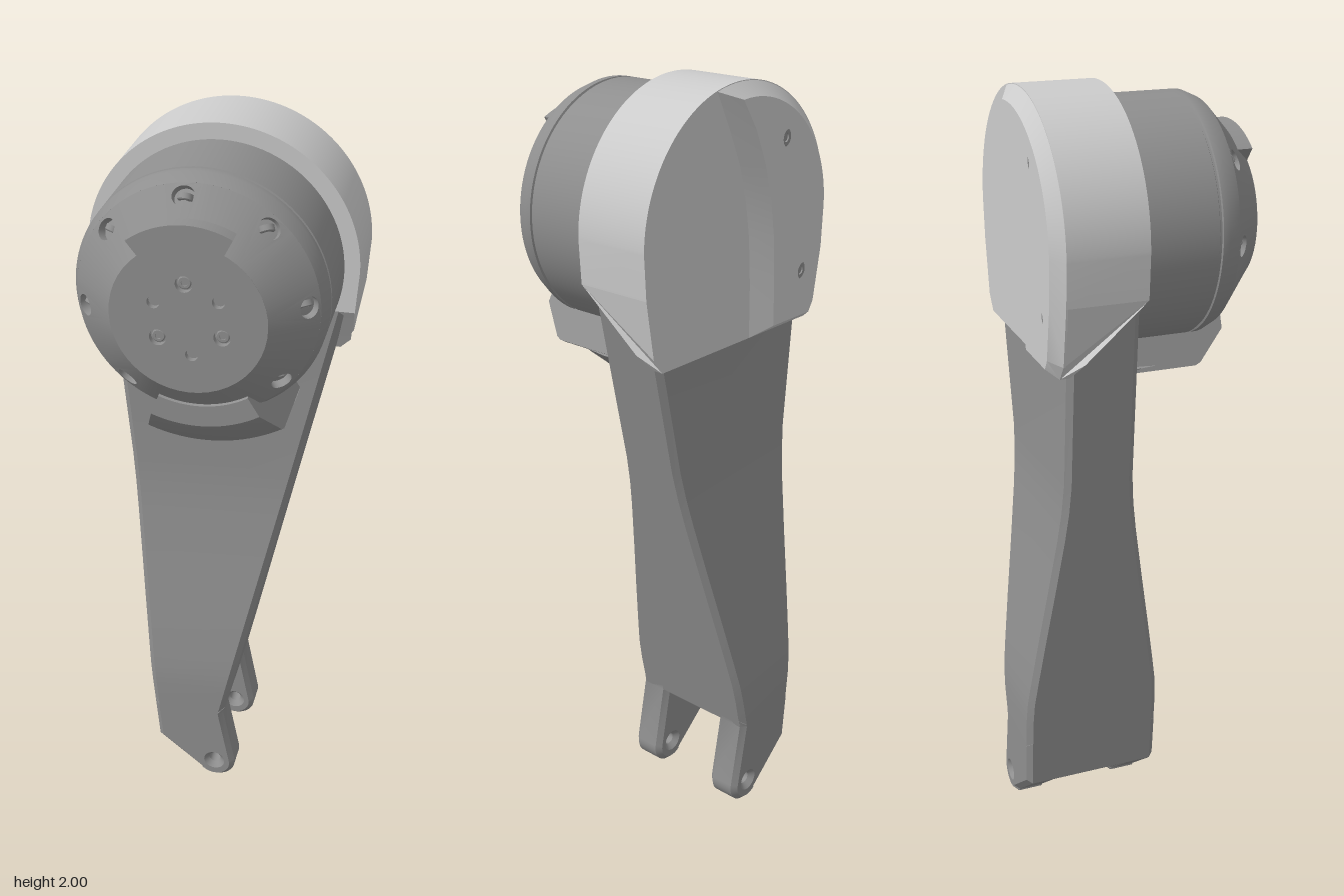
import * as THREE from 'three';
import { toCreasedNormals, mergeGeometries } from 'three/addons/utils/BufferGeometryUtils.js';

const { PI, cos, sin } = Math;
const AXIS = 1.66; // height of the motor axis
const TILT = 5.5 * PI / 180; // motor is turned slightly
const V = (x, y, z) => new THREE.Vector3(x, y, z);
const light = new THREE.MeshStandardMaterial({ color: 0xdadada });
const dark = new THREE.MeshStandardMaterial({ color: 0x8f8f8f });

// Creasing runs at a larger scale so that fine details are not merged
function add(parent, name, geometry, material = dark, crease = 0.5) {
  const g = toCreasedNormals(geometry.scale(100, 100, 100), crease).scale(0.01, 0.01, 0.01);
  const mesh = new THREE.Mesh(g, material);
  mesh.name = name;
  parent.add(mesh);
  return mesh;
}

const polygon = pts => new THREE.Shape(pts.map(p => new THREE.Vector2(...p)));

function circleHole(x, y, r) {
  return new THREE.Path().absarc(x, y, r, 0, 2 * PI, true);
}

function extrude(shape, z0, z1, bevel = 0) {
  const g = new THREE.ExtrudeGeometry(shape, {
    depth: z1 - z0 - 2 * bevel, bevelEnabled: bevel > 0, bevelSize: bevel, bevelThickness: bevel,
    bevelOffset: -bevel, bevelSegments: 1, curveSegments: 24,
  });
  return g.translate(0, 0, z0 + bevel);
}

// Moves every vertex of a geometry by a rule
function reshape(g, rule) {
  const pos = g.attributes.position;
  for (let i = 0; i < pos.count; i++) {
    const p = rule(pos.getX(i), pos.getY(i), pos.getZ(i));
    pos.setXYZ(i, p.x, p.y, p.z);
  }
  return g;
}

// Solid through closed loops, counterclockwise seen from the last loop's side
function loft(loops, capEnd = true) {
  const out = [], n = loops[0].length;
  const tri = (...pts) => pts.forEach(p => out.push(p.x, p.y, p.z));
  const centre = l => l.reduce((s, p) => s.add(p), V(0, 0, 0)).divideScalar(n);
  const first = loops[0], last = loops[loops.length - 1];
  const c0 = centre(first), c1 = centre(last);
  for (let i = 0; i < n; i++) {
    const j = (i + 1) % n;
    for (let k = 0; k + 1 < loops.length; k++) {
      const a = loops[k], b = loops[k + 1];
      tri(a[i], a[j], b[j]);
      tri(a[i], b[j], b[i]);
    }
    tri(c0, first[j], first[i]);
    if (capEnd) tri(c1, last[i], last[j]);
  }
  const g = new THREE.BufferGeometry();
  g.setAttribute('position', new THREE.Float32BufferAttribute(out, 3));
  return g;
}

function latheZ(pts, segments = 64, start = 0, length = 2 * PI) {
  return new THREE.LatheGeometry(pts.map(p => new THREE.Vector2(...p)), segments, start, length).rotateX(PI / 2);
}

// Screw head with a socket, facing +z
function screw(r) {
  return latheZ([[r, -0.01], [r, 0.003], [r * 0.85, 0.005], [r * 0.5, 0.005], [r * 0.5, 0.001], [0, 0.001]], 20);
}

const legLeft = y => -0.17 - (y - 0.13) * 0.088;
const legRight = y => 0.025 + (y - 0.25) * 0.219;

function buildLeg(root) {
  const leg = new THREE.Group();
  leg.name = 'leg';
  // Tapered beam: height and half depth of each section
  const rows = [[0.25, 0.1875], [0.34, 0.1875], [0.4, 0.184], [0.47, 0.174], [0.6, 0.154], [0.75, 0.13],
    [0.9, 0.107], [0.98, 0.097], [1.06, 0.0915], [1.55, 0.0905]];
  const c = 0.015, mid = -0.1225;
  add(leg, 'legBeam', loft(rows.map(([y, h]) => {
    const l = legLeft(y), r = legRight(y), f = mid + h, b = mid - h;
    return [[r - c, f], [r, f - c], [r, b + c], [r - c, b], [l + c, b], [l, b + c], [l, f - c], [l + c, f]]
      .map(([x, z]) => V(x, y, z));
  })), dark, 0.3);

  // Fork prongs with a pivot hole
  const prong = new THREE.Shape();
  prong.moveTo(legRight(0.27), 0.27);
  prong.lineTo(legLeft(0.27), 0.27);
  prong.lineTo(-0.17, 0.13);
  prong.lineTo(-0.04, 0.02);
  prong.absarc(0, 0.06, 0.06, PI * 1.27, PI * 2.05, false);
  prong.lineTo(0.025, 0.25);
  prong.holes.push(circleHole(0, 0.065, 0.017));
  add(leg, 'frontProng', extrude(prong, -0.028, 0.065, 0.014));
  add(leg, 'backProng', extrude(prong, -0.31, -0.217, 0.014));

  // Web joining the prongs, hollowed round the pivot
  const web = new THREE.Shape();
  web.moveTo(0.02, 0.26);
  web.lineTo(legLeft(0.26), 0.26);
  web.lineTo(-0.17, 0.13);
  web.absarc(0.015, 0.072, 0.178, 2.875, PI / 2, true);
  add(leg, 'forkWeb', extrude(web, -0.235, -0.01));
  root.add(leg);
}

function buildHousing(root) {
  const housing = new THREE.Group();
  housing.name = 'housing';
  const front = -0.03, back = -0.235;
  // Round upper part
  const top = new THREE.Shape();
  top.moveTo(-0.335, 1.55);
  top.lineTo(0.335, 1.55);
  top.absarc(0, AXIS, 0.342, 0, PI, false);
  const upper = new THREE.ExtrudeGeometry(top, { depth: front - back, bevelEnabled: false, curveSegments: 64 });
  add(housing, 'housingTop', upper.translate(0, 0, back), light);

  // Lower skirt: side profile swept across, narrowing downwards
  const width = y => y > 1.4 ? 0.31 + (y - 1.4) / 0.15 * 0.025 : 0.28 + (y - 1.36) / 0.04 * 0.03;
  const skirt = polygon([[0.03, 1.55], [0.18, 1.4], [0.21, 1.36], [0.235, 1.36], [0.235, 1.4], [0.235, 1.55]]);
  add(housing, 'housingSkirt', reshape(extrude(skirt, -1, 1), (u, y, s) => V(s * width(y), y, -u)), light, 0.3);

  // Raised back plate with chamfered rim, a sweeping inner edge and two screw wells
  const plateLoop = (inset, shift, z) => {
    const R = 0.34 - inset;
    const loop = [[-0.05 - shift, 1.36 + inset * 0.7], [-0.28 + inset * 0.6, 1.36 + inset * 0.7],
      [-0.31 + inset, 1.4 + inset * 0.3], [-0.335 + inset, 1.55]];
    const end = Math.acos((0.09 - shift) / R);
    for (let i = 0; i <= 28; i++) {
      const a = PI + (end - PI) * i / 28;
      loop.push([R * cos(a), AXIS + R * sin(a)]);
    }
    const edge = [[0.04, 1.89], [0, 1.8], [-0.025, 1.71], [-0.04, 1.62], [-0.048, 1.5]];
    edge.forEach(([x, y]) => loop.push([x - shift, y]));
    return loop.map(([x, y]) => V(x, y, z));
  };
  const rim = plateLoop(0.033, 0.06, -0.265);
  add(housing, 'backPlateRim', loft([plateLoop(0, 0, back + 0.005), plateLoop(0, 0, back), rim], false), light, 0.3);
  const plate = polygon(rim.map(p => [p.x, p.y]));
  for (const [x, y] of [[-0.15, 1.85], [-0.23, 1.5]]) {
    plate.holes.push(circleHole(x, y, 0.023));
    const s = add(housing, 'backScrew', screw(0.0232));
    s.position.set(x, y, -0.25);
    s.rotation.y = PI;
  }
  add(housing, 'backPlate', extrude(plate, -0.265, -0.245), light);
  root.add(housing);
}

function buildMotor(root) {
  const motor = new THREE.Group();
  motor.name = 'motor';
  motor.position.y = AXIS;
  // Drum with a groove; its nose is the floor under the holes
  add(motor, 'drum', latheZ([[0.29, -0.05], [0.3, -0.03], [0.305, -0.022], [0.305, 0.16], [0.3, 0.163], [0.3, 0.168],
    [0.305, 0.17], [0.305, 0.187], [0.29, 0.22], [0.277, 0.205], [0.172, 0.3], [0, 0.3]], 96));

  // Conical cap: eight pierced patches bent round the axis, plain cone between them
  const half = 0.035, len = 0.1416, steps = 4, w = half / 0.24;
  const rim = [];
  for (let i = 0; i <= steps; i++) rim.push([half * (2 * i / steps - 1), 0]);
  for (let i = steps; i >= 0; i--) rim.push([half * (2 * i / steps - 1), len]);
  const pieces = [];
  for (let k = 0; k < 8; k++) {
    const patch = polygon(rim);
    patch.holes.push(circleHole(0, 0.031, 0.024));
    const mid = PI / 2 + TILT + k * PI / 4;
    pieces.push(reshape(extrude(patch, -0.02, 0), (u, v, t) => {
      const r = 0.29 - 0.7415 * v + 0.671 * t, a = mid + u / 0.24;
      return V(r * cos(a), r * sin(a), 0.22 + 0.671 * v + 0.7415 * t);
    }));
    pieces.push(latheZ([[0.29, 0.22], [0.185, 0.315]], 8, mid + w + PI / 2, PI / 4 - 2 * w).toNonIndexed());
    const s = add(motor, 'capScrew', screw(0.018));
    s.position.set(0.254 * cos(mid), 0.254 * sin(mid), 0.226);
    s.lookAt(s.position.clone().add(V(0.671 * cos(mid), 0.671 * sin(mid), 0.7415)));
  }
  add(motor, 'conicalCap', mergeGeometries(pieces));

  // Output face with six holes, three holding screws, and a sector tab above
  const face = new THREE.Shape().absarc(0, 0, 0.186, 0, 2 * PI, false);
  for (let k = 0; k < 6; k++) {
    const a = PI / 2 + TILT + k * PI / 3, x = 0.088 * cos(a), y = 0.088 * sin(a);
    face.holes.push(circleHole(x, y, k % 2 ? 0.015 : 0.02));
    if (k % 2 === 0) add(motor, 'faceScrew', screw(0.016)).position.set(x, y, 0.302);
  }
  add(motor, 'outputFace', extrude(face, 0.295, 0.315));
  const tab = new THREE.Shape();
  const a0 = PI / 2 + TILT - 0.57, a1 = a0 + 1.14;
  tab.absarc(0, 0, 0.228, a0, a1, false);
  tab.absarc(0, 0, 0.175, a1, a0, true);
  add(motor, 'outputTab', extrude(tab, 0.25, 0.3155));
  root.add(motor);
}

function buildConnectorCover(root) {
  const cover = new THREE.Group();
  cover.name = 'connectorCover';
  cover.position.y = AXIS;
  // Bent block hugging the underside of the motor
  const profile = polygon([[0.24, 0.24], [0.25, 0.265], [0.305, 0.265], [0.385, 0.195], [0.392, 0.18], [0.392, -0.035], [0.24, -0.035]]);
  const block = new THREE.ExtrudeGeometry(profile, { depth: 1, steps: 16, bevelEnabled: false });
  const mid = -PI / 2 + TILT, half = 0.455;
  add(cover, 'coverBlock', reshape(block, (r, z, t) => {
    const a = mid + half - t * 2 * half;
    return V(r * cos(a), r * sin(a), z);
  }));
  // Pointed flange below with its screw
  const outline = (z, pts) => pts.map(([x, y]) => V(x, y - AXIS, z));
  const wide = [[-0.14, 1.305], [0.015, 1.203], [0.07, 1.203], [0.205, 1.32], [0.03, 1.36]];
  const narrow = [[-0.13, 1.305], [0.015, 1.265], [0.06, 1.265], [0.195, 1.32], [0.03, 1.36]];
  add(cover, 'coverFlange', loft([outline(-0.035, wide), outline(0.03, wide), outline(0.095, narrow)]));
  const flange = add(cover, 'flangeScrew', screw(0.024));
  flange.position.set(0.042, 1.235 - AXIS, 0.063);
  flange.rotation.x = PI / 4;
  const side = add(cover, 'sideScrew', screw(0.022));
  const a = mid + half;
  side.position.set(0.345 * cos(a), 0.345 * sin(a), 0.005);
  side.lookAt(side.position.clone().add(V(-sin(a), cos(a), 0)));
  root.add(cover);
}

export function createModel() {
  const root = new THREE.Group();
  root.name = 'robotLegSegment';
  buildLeg(root);
  buildHousing(root);
  buildMotor(root);
  buildConnectorCover(root);
  return root;
}
